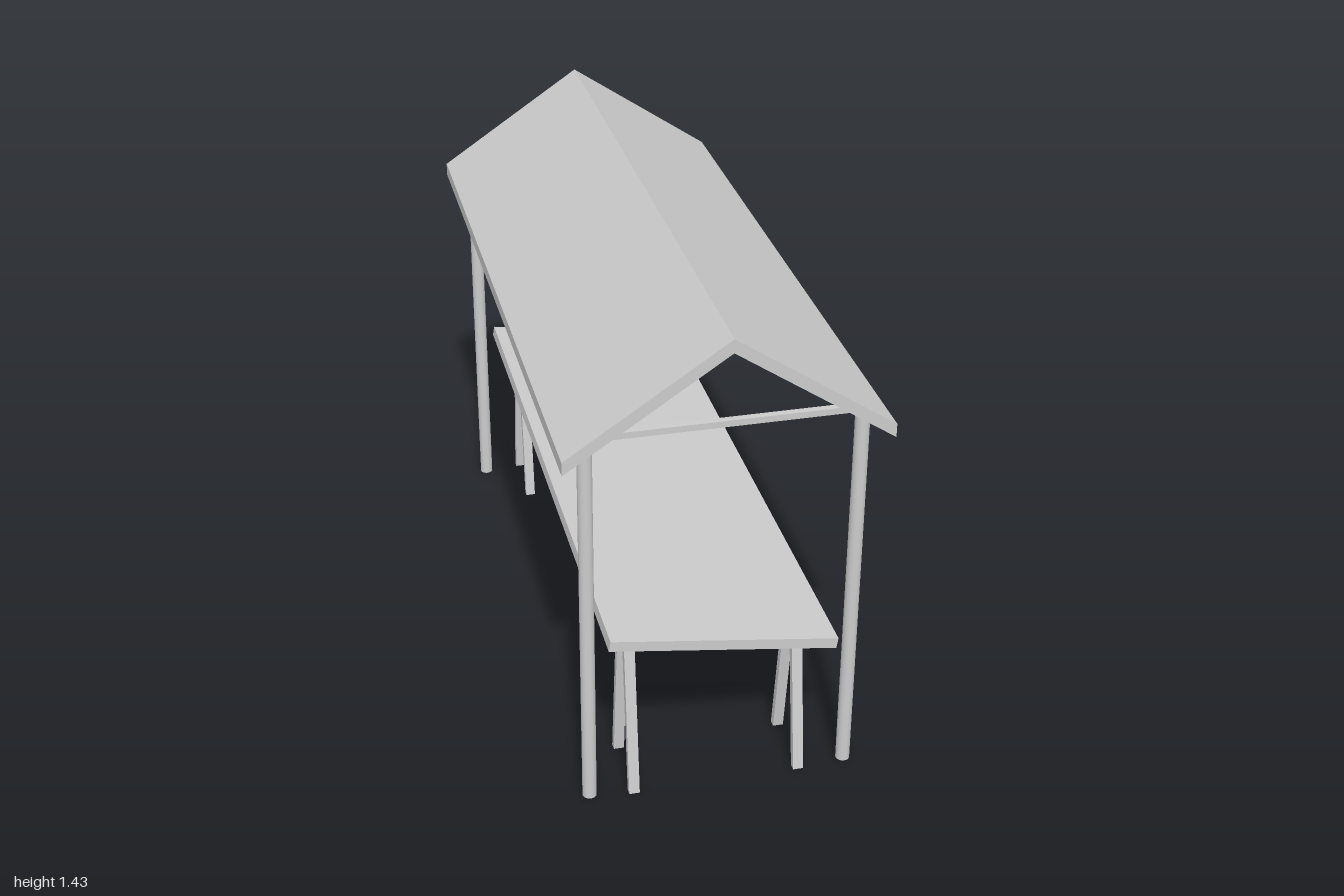
import * as THREE from 'three';

const material = new THREE.MeshStandardMaterial({ color: 0xcccccc });

function add(parent, geometry, name) {
  const mesh = new THREE.Mesh(geometry, material);
  mesh.name = name;
  parent.add(mesh);
  return mesh;
}

// Outline in x/y pushed along z, centred on z
function slab(parent, name, points, depth, z = 0) {
  const shape = new THREE.Shape(points.map(([x, y]) => new THREE.Vector2(x, y)));
  const geometry = new THREE.ExtrudeGeometry(shape, { depth, bevelEnabled: false });
  geometry.translate(0, 0, z - depth / 2);
  return add(parent, geometry, name);
}

// Square leg from foot to top, sheared so that both ends stay level
function leg(parent, x, top, zFoot, zTop) {
  const geometry = new THREE.BoxGeometry(0.03, top, 0.022);
  geometry.translate(0, top / 2, 0);
  const p = geometry.attributes.position;
  for (let i = 0; i < p.count; i++) {
    p.setZ(i, p.getZ(i) + THREE.MathUtils.lerp(zFoot, zTop, p.getY(i) / top));
  }
  geometry.computeVertexNormals();
  add(parent, geometry, 'trestleLeg').position.x = x;
}

export function createModel() {
  const model = new THREE.Group();
  model.name = 'marketStall';

  // Gabled roof
  const half = 0.437, pitch = 0.67;
  const under = (x) => 1.391 - pitch * Math.abs(x);
  slab(model, 'roof', [
    [-half, under(half)], [0, under(0)], [half, under(half)],
    [half, 1.137], [0, 1.43], [-half, 1.137],
  ], 2);

  for (const end of [1, -1]) {
    const z = end * 0.905;

    // Round corner posts
    for (const x of [-0.361, 0.377]) {
      const post = add(model, new THREE.CylinderGeometry(0.02, 0.02, 1.15, 24), 'post');
      post.position.set(x, 0.575, z);
    }

    // Roof truss: two rafters and a tie beam
    const drop = 0.025;
    slab(model, 'rafters', [
      [-0.37, under(0.37) - drop], [0, under(0) - drop], [0.37, under(0.37) - drop],
      [0.37, under(0.37)], [0, under(0)], [-0.37, under(0.37)],
    ], 0.02, z);
    add(model, new THREE.BoxGeometry(0.71, 0.018, 0.02), 'tieBeam').position.set(0.008, 1.144, z);

    // Trestle: sloping top rail on two pairs of splayed legs
    const trestle = new THREE.Group();
    trestle.name = 'trestle';
    trestle.position.z = end * 0.818;
    model.add(trestle);
    slab(trestle, 'trestleRail', [
      [-0.253, 0.473], [0.253, 0.401], [0.253, 0.432], [-0.253, 0.504],
    ], 0.09);
    for (const [x, top] of [[-0.238, 0.49], [0.238, 0.425]]) {
      for (const side of [1, -1]) leg(trestle, x, top, side * 0.102, side * 0.036);
    }
  }

  // Sloping table top
  slab(model, 'tableTop', [
    [-0.312, 0.511], [0.324, 0.421], [0.329, 0.452], [-0.307, 0.541],
  ], 1.904);

  return model;
}
